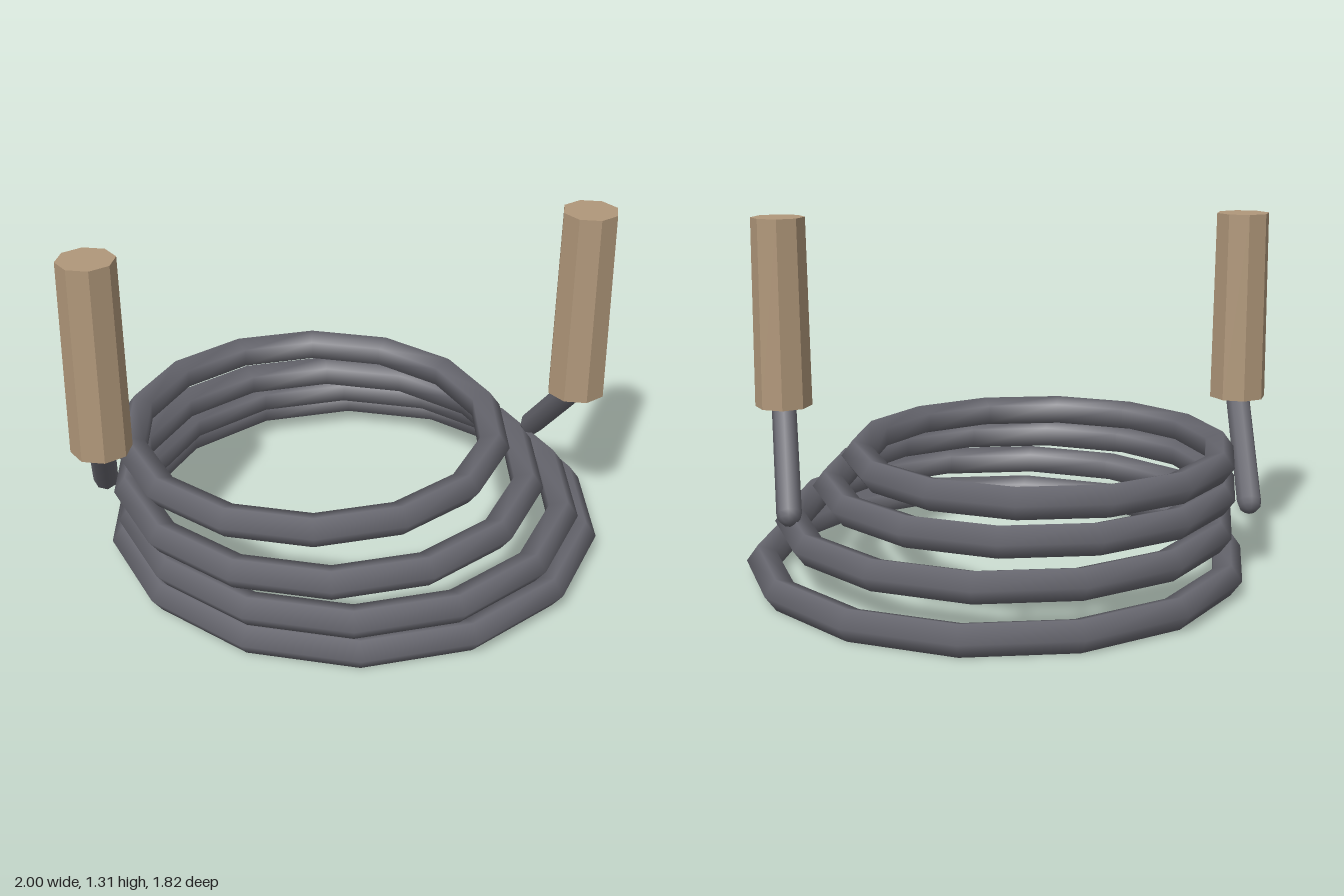
import * as THREE from 'three';

export function createModel() {
  const group = new THREE.Group();
  group.name = 'coiledRope';

  const rope = new THREE.MeshStandardMaterial({ color: 0x67676f });
  rope.name = 'greyRope';
  const wood = new THREE.MeshStandardMaterial({ color: 0xb0977a, flatShading: true });
  wood.name = 'tanWood';

  const add = (name, geometry, material) => {
    const mesh = new THREE.Mesh(geometry, material);
    mesh.name = name;
    group.add(mesh);
    return mesh;
  };

  // Stacked coils, shrinking and drifting as they rise: [x, z, radius]
  const coils = [
    [0.063, 0, 0.872],
    [0.024, 0.066, 0.807],
    [-0.053, 0.073, 0.741],
    [-0.098, 0.01, 0.675],
  ];
  coils.forEach(([x, z, radius], i) => {
    const geometry = new THREE.TorusGeometry(radius, 0.06, 5, 14).rotateX(Math.PI / 2);
    add('coil' + (i + 1), geometry, rope).position.set(x, 0.057 + i * 0.13, z);
  });

  // Rope ends, each rising into an eight-sided wooden handle
  for (const [side, s] of [['left', 1], ['right', -1]]) {
    const x = -0.02 + s * 0.873;
    const top = new THREE.Vector3(x, 0.605, 0.218);
    const low = new THREE.Vector3(x - s * 0.026, 0.266, -0.116);
    const dir = top.clone().sub(low);
    const end = add(side + 'RopeEnd', new THREE.CapsuleGeometry(0.046, dir.length(), 3, 8), rope);
    end.position.copy(low).add(top).multiplyScalar(0.5);
    end.quaternion.setFromUnitVectors(new THREE.Vector3(0, 1, 0), dir.normalize());

    const handle = add(side + 'Handle', new THREE.CylinderGeometry(0.1, 0.107, 0.71, 8), wood);
    handle.position.set(x, 0.95, 0.218);
  }

  return group;
}
